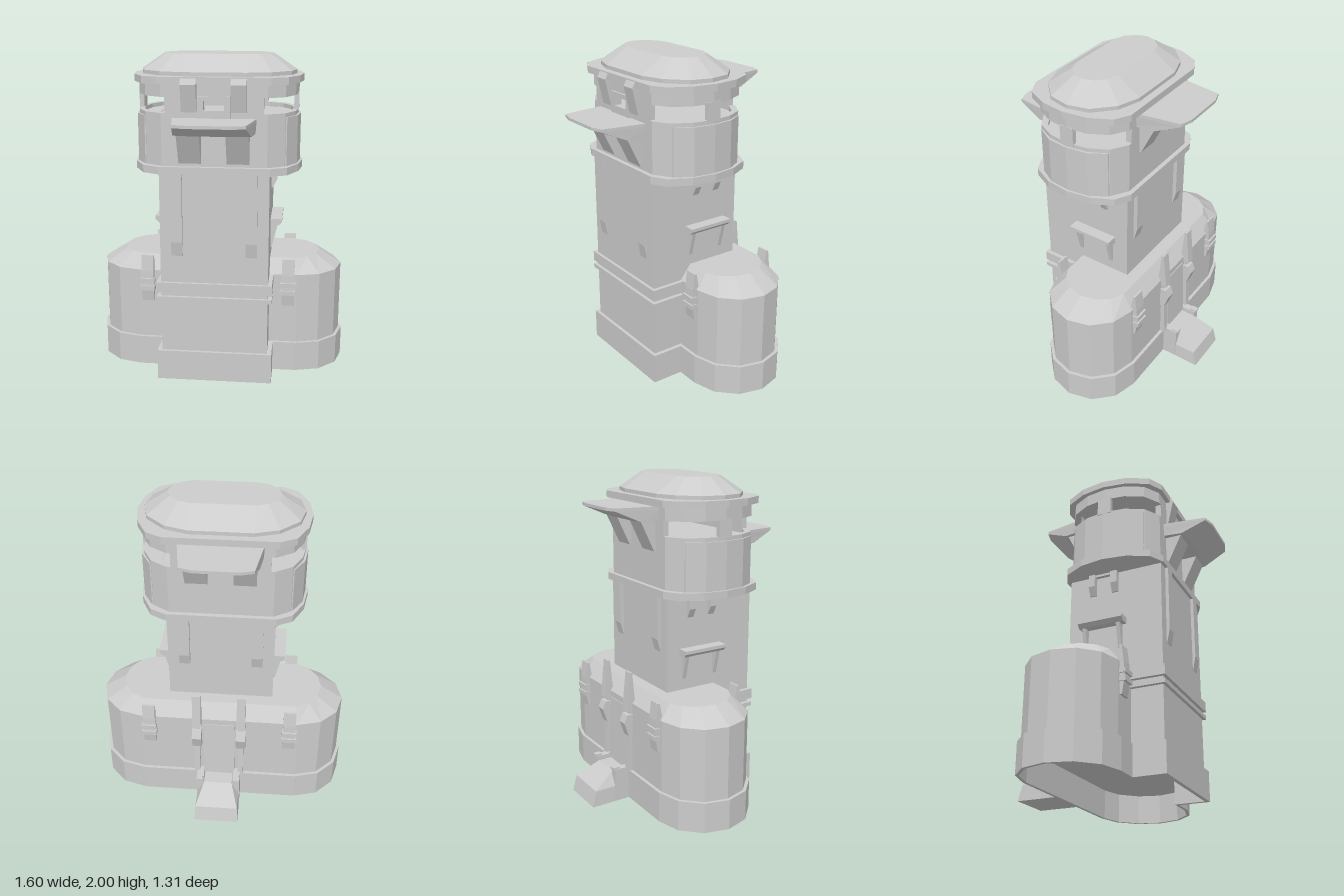
import * as THREE from 'three';

const mat = new THREE.MeshStandardMaterial({ color: 0xcccccc, flatShading: true, side: THREE.DoubleSide });

export function createModel() {
  const model = new THREE.Group();
  const add = (name, geo, parent = model) => {
    const m = new THREE.Mesh(geo, mat);
    m.name = name;
    parent.add(m);
    return m;
  };

  // Box given by its limits
  const box = (name, x0, x1, y0, y1, z0, z1, parent) =>
    add(name, new THREE.BoxGeometry(x1 - x0, y1 - y0, z1 - z0)
      .translate((x0 + x1) / 2, (y0 + y1) / 2, (z0 + z1) / 2), parent);

  const shapeOf = (pts) => new THREE.Shape(pts.map((p) => new THREE.Vector2(...p)));
  const extrude = (shape, depth) => new THREE.ExtrudeGeometry(shape, { depth, bevelEnabled: false });

  // Prism with a (z, y) profile, running along x
  const prismX = (name, profile, x0, x1, parent) =>
    add(name, extrude(shapeOf(profile), x1 - x0).rotateY(-Math.PI / 2).translate(x1, 0, 0), parent);

  // Prism with an (x, y) profile, running along z
  const prismZ = (name, profile, z0, z1, parent) =>
    add(name, extrude(shapeOf(profile), z1 - z0).translate(0, 0, z0), parent);

  // Full oval from a quarter outline running from +x to +z
  const oval = (q) => [
    ...q,
    ...[...q].reverse().map(([x, z]) => [-x, z]),
    ...q.slice(1).map(([x, z]) => [-x, -z]),
    ...q.slice(1).reverse().map(([x, z]) => [x, -z]),
  ];
  const level = (pts, y, cz = 0) => pts.map(([x, z]) => new THREE.Vector3(x, y, z + cz));

  // Skin over horizontal rings, with flat caps or closed back onto itself
  function loft(rings, closed = false) {
    const out = [];
    const tri = (...v) => v.forEach((p) => out.push(p.x, p.y, p.z));
    const n = rings[0].length;
    const all = closed ? [...rings, rings[0]] : rings;
    for (let r = 0; r < all.length - 1; r++) {
      for (let i = 0; i < n; i++) {
        const j = (i + 1) % n, lo = all[r], up = all[r + 1];
        tri(lo[i], up[i], lo[j]);
        tri(up[i], up[j], lo[j]);
      }
    }
    if (!closed) {
      const centre = (ring) => ring.reduce((s, p) => s.add(p), new THREE.Vector3()).divideScalar(n);
      const top = rings[rings.length - 1], ct = centre(top), cb = centre(rings[0]);
      for (let i = 0; i < n; i++) {
        const j = (i + 1) % n;
        tri(ct, top[j], top[i]);
        tri(cb, rings[0][i], rings[0][j]);
      }
    }
    const g = new THREE.BufferGeometry();
    g.setAttribute('position', new THREE.Float32BufferAttribute(out, 3));
    g.computeVertexNormals();
    return g;
  }

  // Hollow plinth: oval with a square bay at the front
  const baseOuter = [[0.8, 0], [0.76, 0.15], [0.65, 0.26], [0.5, 0.3]];
  const baseWall = [[0.78, 0], [0.742, 0.14], [0.64, 0.242], [0.5, 0.28]];
  const baseTop = [[0.64, 0], [0.615, 0.1], [0.56, 0.17], [0.48, 0.21]];
  const plinthOutline = (q, w, front) => {
    const pts = oval(q), z = q[3][1];
    pts.splice(4, 0, [w, z], [w, front], [-w, front], [-w, z]);
    return pts;
  };
  const plinth = shapeOf(plinthOutline(baseOuter, 0.355, 0.5));
  plinth.holes.push(shapeOf(plinthOutline(baseWall, 0.33, 0.475)));
  add('plinth', extrude(plinth, 0.19).rotateX(Math.PI / 2).translate(0, 0.19, -0.1));

  // Oval lower building with sloped roof
  add('lowerBuilding', loft([
    level(oval(baseWall), 0.185, -0.1), level(oval(baseWall), 0.64, -0.1), level(oval(baseTop), 0.73, -0.1),
  ]));

  // Square tower shaft and bands
  box('towerShaft', -0.327, 0.327, 0.188, 1.33, -0.23, 0.38);
  box('lowerBand', -0.352, 0.352, 0.525, 0.55, 0.15, 0.4);
  box('upperBand', -0.352, 0.352, 0.575, 0.64, 0.15, 0.4);

  // Turret floor, lower wall and rims
  const rim = oval([[0.512, 0], [0.49, 0.15], [0.425, 0.28], [0.33, 0.33]]);
  const wall = oval([[0.485, 0], [0.466, 0.13], [0.41, 0.24], [0.31, 0.302]]);
  const inner = oval([[0.455, 0], [0.437, 0.12], [0.385, 0.21], [0.295, 0.265]]);
  const CZ = 0.07;
  const turretRing = (name, y0, y1) => add(name, loft([
    level(wall, y0, CZ), level(wall, y1, CZ), level(inner, y1, CZ), level(inner, y0, CZ)], true));
  add('lowerRim', loft([level(rim, 1.315, CZ), level(rim, 1.36, CZ)]));
  add('turretLowerWall', loft([level(wall, 1.36, CZ), level(wall, 1.645, CZ)]));
  turretRing('windowSill', 1.645, 1.672);
  turretRing('windowHeader', 1.765, 1.842);
  add('upperRim', loft([level(rim, 1.84, CZ), level(rim, 1.882, CZ)]));

  // Turret roof
  const roofBase = oval([[0.47, 0], [0.44, 0.13], [0.325, 0.24], [0.185, 0.285]]);
  const roofTop = oval([[0.33, 0], [0.31, 0.065], [0.255, 0.12], [0.185, 0.142]]);
  add('roof', loft([level(roofBase, 1.882, CZ), level(roofBase, 1.905, CZ), level(roofTop, 2, CZ)]));

  // Panels with a small window, front and back
  const rect = (x, y0, y1) => [[-x, y0], [x, y0], [x, y1], [-x, y1]];
  const windowPanel = (name, x, y0, y1, z0, z1) => {
    const s = shapeOf(rect(x, y0, y1));
    s.holes.push(shapeOf(rect(0.06, 1.69, 1.745)));
    add(name, extrude(s, z1 - z0).translate(0, 0, z0));
  };
  windowPanel('frontPanel', 0.287, 1.672, 1.765, 0.335, 0.372);
  windowPanel('frontWindowFrame', 0.095, 1.645, 1.772, 0.36, 0.385);
  windowPanel('backPanel', 0.287, 1.672, 1.765, -0.232, -0.195);

  // Canopy with two wedge brackets, built facing +z with its top at y = 0
  const canopy = (name, y, z, turn) => {
    const g = new THREE.Group();
    g.name = name;
    const outline = (w0, w1, w2, d1, d2) =>
      [[w0, -0.03], [w1, d1], [w2, d2], [-w2, d2], [-w1, d1], [-w0, -0.03]];
    const plate = outline(0.25, 0.205, 0.13, 0.262, 0.285);
    add('canopyPlate', loft([
      level(outline(0.245, 0.225, 0.13, 0.11, 0.125), -0.085), level(plate, -0.018), level(plate, 0),
    ]), g);
    for (const s of [-1, 1]) {
      prismX('canopyBracket', [[-0.02, -0.265], [0.012, -0.265], [0.1, -0.085], [-0.02, -0.085]],
        s * 0.142 - 0.066, s * 0.142 + 0.066, g);
    }
    g.position.set(0, y, z);
    g.rotation.y = turn;
    model.add(g);
  };
  canopy('frontCanopy', 1.645, 0.372, 0);
  canopy('backCanopy', 1.84, -0.232, Math.PI);

  // Rear entrance ramp
  const rampRing = (w, z, y) => level([[w, -0.38], [w, z], [-w, z], [-w, -0.38]].reverse(), y);
  add('ramp', loft([rampRing(0.14, -0.655, 0), rampRing(0.135, -0.63, 0.1), rampRing(0.09, -0.49, 0.185)]));

  // Raised centre bay on the back wall
  prismX('rearBay', [[-0.36, 0.19], [-0.405, 0.19], [-0.385, 0.6], [-0.36, 0.6]], -0.1, 0.1);

  // Mirrored parts
  for (const s of [-1, 1]) {
    const sx = (pts) => pts.map(([x, y]) => [s * x, y]);
    const across = (name, profile, x, w) => prismX(name, profile, s * x - w / 2, s * x + w / 2);
    const bar = (name, x0, x1, ...rest) => box(name, Math.min(s * x0, s * x1), Math.max(s * x0, s * x1), ...rest);

    // Side window post and armour below the windows
    bar('windowPost', 0.455, 0.485, 1.66, 1.775, 0.025, 0.113);
    const panel = [[0.42, -0.235], [0.48, -0.132], [0.497, 0], [0.48, 0.132], [0.42, 0.235], [0.35, 0.235], [0.35, -0.235]];
    const ring = s > 0 ? panel : panel.map(([x, z]) => [-x, z]).reverse();
    add('sidePanel', loft([level(ring, 1.36, CZ), level(ring, 1.648, CZ)]));

    // Tower pilasters
    across('frontPilaster', [[0.37, 0.81], [0.383, 0.81], [0.4, 0.9], [0.4, 1.32], [0.37, 1.32]], 0.224, 0.068);
    across('backPilaster', [[-0.22, 0.97], [-0.233, 0.97], [-0.255, 1.05], [-0.255, 1.32], [-0.22, 1.32]], 0.224, 0.068);

    // Brackets above the front canopy
    across('upperBracket', [[0.36, 1.68], [0.383, 1.68], [0.42, 1.84], [0.4, 1.875], [0.36, 1.875]], 0.145, 0.09);

    // Paired side brackets under the turret
    for (const z of [0.078, -0.07]) {
      prismZ('sideBracket', sx([[0.31, 1.18], [0.335, 1.18], [0.362, 1.235], [0.362, 1.32], [0.31, 1.32]]), z - 0.021, z + 0.021);
    }
    bar('sideBracketTie', 0.31, 0.35, 1.3, 1.32, -0.06, 0.06);

    // Side ledge on splayed fins
    prismZ('sideLedge', sx([[0.31, 0.95], [0.375, 0.95], [0.398, 0.972], [0.398, 0.992], [0.31, 0.992]]), -0.142, 0.15);
    for (const z of [0.112, -0.112]) {
      prismZ('sideLedgeFin', sx([[0.31, 0.8], [0.335, 0.8], [0.372, 0.955], [0.31, 0.955]]), z - 0.012, z + 0.012);
    }

    // Buckled straps on the lower building, front and back
    for (const [wallZ, dir] of [[0.18, 1], [-0.38, -1]]) {
      const out = (pts) => pts.map(([z, y]) => [wallZ + dir * z, y]);
      across('strap', out([[-0.02, 0.44], [0.015, 0.44], [0.03, 0.54], [0.025, 0.64], [0.012, 0.742], [0, 0.742], [-0.02, 0.64]]), 0.445, 0.078);
      for (const y of [0.53, 0.58]) {
        across('strapBuckle', out([[0, y - 0.014], [0.04, y - 0.014], [0.04, y + 0.014], [0, y + 0.014]]), 0.445, 0.092);
      }
    }

    // Rear fins, lower brackets and bay ribs
    across('rearFin', [[-0.34, 0.6], [-0.42, 0.6], [-0.412, 0.68], [-0.395, 0.84], [-0.38, 0.84], [-0.365, 0.68]], 0.14, 0.055);
    across('rearBracket', [[-0.37, 0.43], [-0.41, 0.43], [-0.44, 0.52], [-0.42, 0.57], [-0.37, 0.57]], 0.14, 0.06);
    across('rearRib', [[-0.36, 0.19], [-0.415, 0.19], [-0.395, 0.6], [-0.36, 0.6]], 0.14, 0.035);

    // Piers and caps beside the ramp
    bar('rampPier', 0.095, 0.14, 0, 0.212, -0.495, -0.38);
    bar('rampPierCap', 0.1, 0.135, 0.208, 0.224, -0.505, -0.46);
  }

  return model;
}
